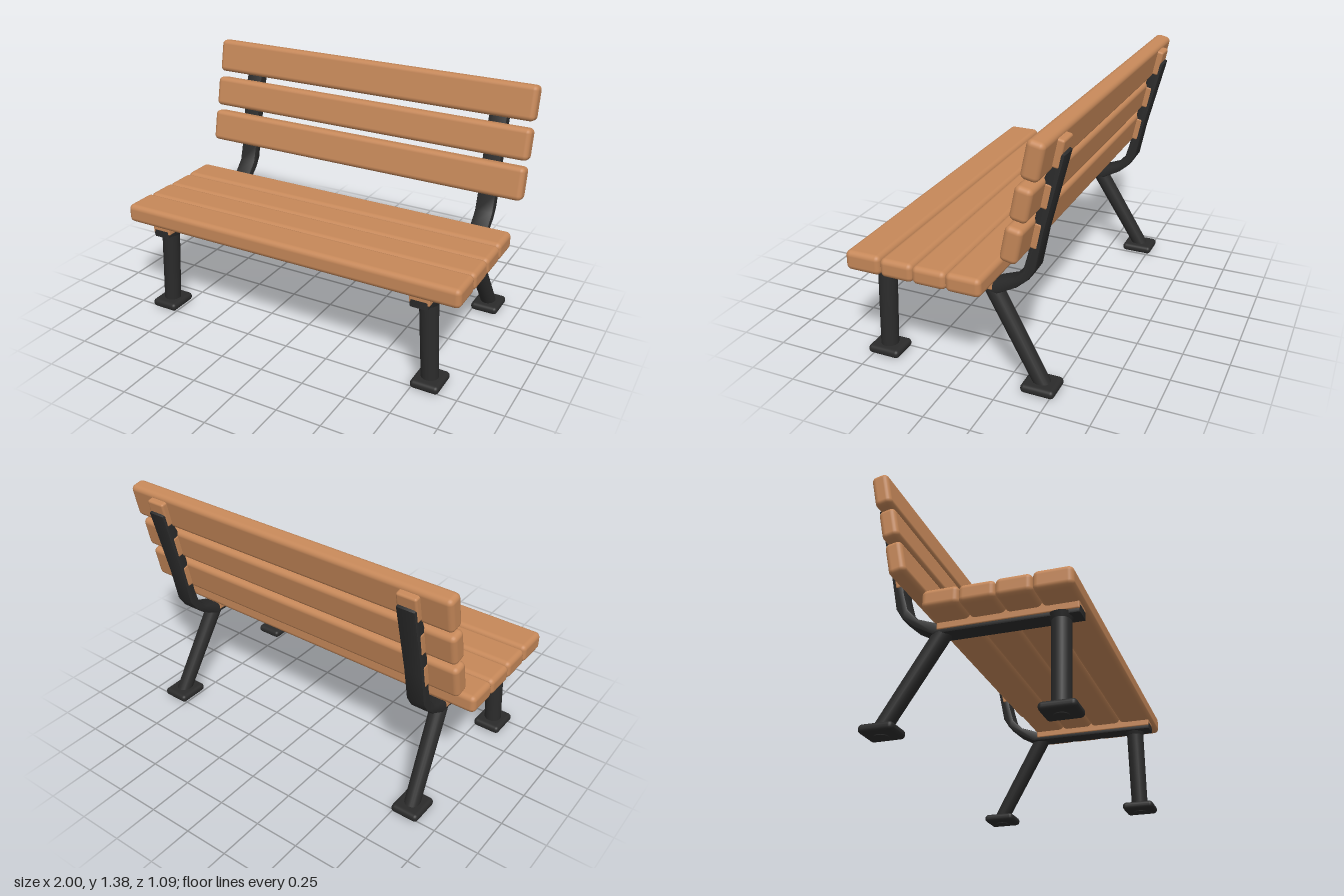
import * as THREE from 'three';
import { toCreasedNormals } from 'three/addons/utils/BufferGeometryUtils.js';
import { RoundedBoxGeometry } from 'three/addons/geometries/RoundedBoxGeometry.js';

export function createModel() {
  const group = new THREE.Group();
  group.name = 'parkBench';

  const wood = new THREE.MeshStandardMaterial({ color: 0xc68859 });
  wood.name = 'warm wood';
  const iron = new THREE.MeshStandardMaterial({ color: 0x2b2b2b });
  iron.name = 'dark iron';

  const add = (name, geometry, material, x, y, z, tilt = 0) => {
    const mesh = new THREE.Mesh(geometry, material);
    mesh.name = name;
    mesh.position.set(x, y, z);
    mesh.rotation.x = tilt;
    group.add(mesh);
    return mesh;
  };
  const box = (w, h, d, r) => new RoundedBoxGeometry(w, h, d, 3, r);

  // Seat planks: front edge, back edge, top
  [[0.55, 0.355, 0.65], [0.355, 0.175, 0.645], [0.178, -0.005, 0.642], [-0.002, -0.19, 0.645]]
    .forEach(([front, back, top], i) => {
      add('seatSlat' + (i + 1), box(2, top - 0.545, front - back, 0.028), wood,
        0, (top + 0.545) / 2, (front + back) / 2);
    });

  // Backrest planks, leaning backwards, with a mounting block behind each
  const lean = -0.2;
  [[0.857, -0.345, 0.185], [1.065, -0.394, 0.175], [1.278, -0.449, 0.192]]
    .forEach(([y, z, height], i) => {
      add('backSlat' + (i + 1), box(2, height, 0.09, 0.027), wood, 0, y, z, lean);
      for (const side of [-1, 1]) {
        add('backBlock', box(0.112, height * 0.75, 0.05, 0.012), wood,
          side * 0.785, y - 0.01, z - 0.052, lean);
      }
    });

  // Bent side frame: profile in (z, y), running under the seat and up the back
  const profile = [
    [0.535, 0.49], [-0.2, 0.492], [-0.3, 0.547], [-0.365, 0.605], [-0.402, 0.665],
    [-0.44, 0.86], [-0.54, 1.265], [-0.5, 1.285], [-0.435, 1.13], [-0.388, 0.9],
    [-0.36, 0.74], [-0.335, 0.65], [-0.28, 0.59], [-0.19, 0.556], [-0.15, 0.53], [0.535, 0.53],
  ].map(([z, y]) => new THREE.Vector2(z, y));
  const bevel = 0.012;
  let frame = new THREE.ExtrudeGeometry(new THREE.Shape(profile), {
    depth: 0.105 - 2 * bevel, bevelThickness: bevel, bevelSize: bevel,
    bevelOffset: -bevel, bevelSegments: 2,
  });
  frame.translate(0, 0, -(0.105 - 2 * bevel) / 2);
  frame.rotateY(-Math.PI / 2);
  frame = toCreasedNormals(frame, 0.7);

  // Round leg between two points
  const addLeg = (name, top, bottom, rTop, rBottom) => {
    const axis = new THREE.Vector3().subVectors(top, bottom);
    const mid = new THREE.Vector3().addVectors(top, bottom).multiplyScalar(0.5);
    const leg = add(name, new THREE.CylinderGeometry(rTop, rBottom, axis.length(), 20), iron,
      mid.x, mid.y, mid.z);
    leg.quaternion.setFromUnitVectors(new THREE.Vector3(0, 1, 0), axis.normalize());
  };

  for (const side of [-1, 1]) {
    add('sideFrame', frame, iron, side * 0.785, 0, 0);
    // Wooden packing between frame and seat
    add('seatBlock', box(0.112, 0.055, 0.71, 0.008), wood, side * 0.785, 0.537, 0.178);

    addLeg('frontLeg', new THREE.Vector3(side * 0.797, 0.51, 0.435),
      new THREE.Vector3(side * 0.825, 0.03, 0.435), 0.05, 0.047);
    addLeg('backLeg', new THREE.Vector3(side * 0.79, 0.525, -0.15),
      new THREE.Vector3(side * 0.825, 0.03, -0.444), 0.046, 0.042);
    // Collar where the front leg meets the frame
    add('legCollar', new THREE.CylinderGeometry(0.062, 0.05, 0.035, 20), iron,
      side * 0.797, 0.49, 0.435);

    for (const z of [0.435, -0.435]) {
      add('foot', box(0.158, 0.046, 0.18, 0.021), iron, side * 0.825, 0.027, z);
      add('footPad', new THREE.CylinderGeometry(0.042, 0.036, 0.02, 20), iron, side * 0.825, 0.01, z);
    }
  }
  return group;
}
